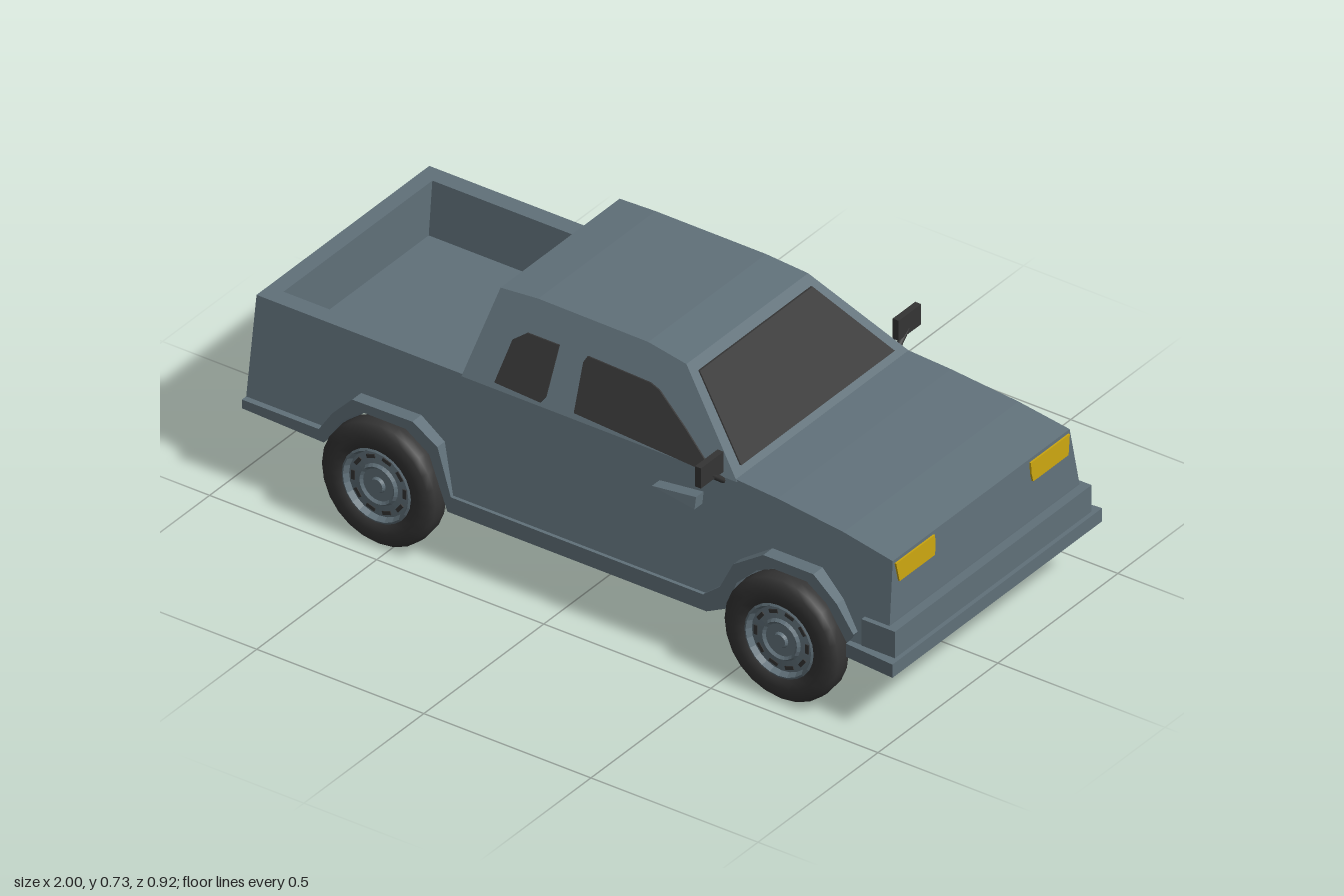
import * as THREE from 'three';

const mat = (name, color) => {
  const m = new THREE.MeshStandardMaterial({ color });
  m.name = name;
  return m;
};

export function createModel() {
  const paint = mat('bluish grey paint', 0x607079);
  const dark = mat('dark rubber and glass', 0x343434);
  const yellow = mat('headlight yellow', 0xc9a410);
  const red = mat('taillight red', 0x8a2c14);
  const truck = new THREE.Group();
  truck.name = 'pickupTruck';

  const add = (name, geo, material, parent = truck) => {
    const mesh = new THREE.Mesh(geo, material);
    mesh.name = name;
    parent.add(mesh);
    return mesh;
  };

  // Extrudes an outline and places every corner with place(a, b, t), t being 0 or 1
  const sculpt = (outline, place) => {
    const shape = new THREE.Shape(outline.map(([a, b]) => new THREE.Vector2(a, b)));
    const geo = new THREE.ExtrudeGeometry(shape, { depth: 1, bevelEnabled: false });
    const p = geo.attributes.position;
    for (let i = 0; i < p.count; i++) p.setXYZ(i, ...place(p.getX(i), p.getY(i), p.getZ(i)));
    geo.computeVertexNormals();
    return geo;
  };
  // Side outline (x, y) spanning z from near(y) to far(y)
  const slab = (outline, near, far) =>
    sculpt(outline, (x, y, t) => [x, y, t < 0.5 ? near(y) : far(y)]);
  // The same slab on both sides of the truck
  const slabPair = (name, outline, near, far, material) => {
    add(name + 'Left', slab(outline, near, far), material);
    add(name + 'Right', slab(outline, (y) => -far(y), (y) => -near(y)), material);
  };
  // Thin plates facing forward or backward, outline in (z, y), lying on x = at(y)
  const frontPlate = (outline, at) =>
    sculpt(outline, (a, y, t) => [at(y) - 0.003 + 0.008 * t, y, -a]);
  const rearPlate = (outline, at) =>
    sculpt(outline, (a, y, t) => [at(y) + 0.003 - 0.008 * t, y, a]);

  // Half widths of the body and of the cabin at height y
  const bodyW = (y) => 0.36 + 0.16 * (0.52 - y);
  const cabW = (y) => 0.36 - 0.548 * (y - 0.52);

  // Body with wheel arches, hood, bed floor and tailgate
  const lowerEdge = [
    [-0.96, 0.225], [-0.715, 0.217], [-0.66, 0.3], [-0.6, 0.347], [-0.47, 0.347],
    [-0.4, 0.3], [-0.37, 0.22], [-0.345, 0.155], [0.43, 0.155], [0.49, 0.185],
    [0.52, 0.27], [0.58, 0.328], [0.63, 0.352], [0.73, 0.352], [0.79, 0.31], [0.85, 0.22],
  ];
  add('body', slab([
    ...lowerEdge, [0.86, 0.185], [0.965, 0.185], [0.96, 0.3], [0.95, 0.465], [0.8, 0.491],
    [0.6, 0.512], [0.475, 0.52], [-0.39, 0.52], [-0.39, 0.37], [-0.915, 0.37],
    [-0.915, 0.52], [-0.96, 0.52],
  ], (y) => -bodyW(y), bodyW), paint);
  slabPair('bedWall', [[-0.915, 0.37], [-0.39, 0.37], [-0.39, 0.52], [-0.915, 0.52]],
    (y) => 0.295 + 0.1 * (y - 0.37), bodyW, paint);

  // Flared trim following the arches and the sills
  slabPair('fenderTrim', [
    ...lowerEdge, [0.87, 0.25], [0.82, 0.32], [0.75, 0.38], [0.6, 0.38], [0.51, 0.32],
    [0.47, 0.24], [0.42, 0.2], [-0.335, 0.2], [-0.375, 0.33], [-0.45, 0.375],
    [-0.63, 0.372], [-0.69, 0.31], [-0.73, 0.25], [-0.96, 0.25],
  ], () => 0.37, () => 0.421, paint);

  // Cabin
  add('cabin', slab([
    [-0.345, 0.515], [0.48, 0.515], [0.25, 0.714], [0.13, 0.729], [-0.2, 0.731], [-0.31, 0.724],
  ], (y) => -cabW(y), cabW), paint);

  // Side windows
  const glassIn = (y) => cabW(y) - 0.004;
  const glassOut = (y) => cabW(y) + 0.004;
  slabPair('rearSideWindow', [
    [-0.25, 0.53], [-0.11, 0.525], [-0.1, 0.54], [-0.105, 0.655], [-0.2, 0.655], [-0.235, 0.63],
  ], glassIn, glassOut, dark);
  slabPair('frontSideWindow', [
    [-0.012, 0.53], [0.365, 0.515], [0.38, 0.535], [0.3, 0.585], [0.2, 0.642], [0.17, 0.65],
    [-0.02, 0.655], [-0.027, 0.64],
  ], glassIn, glassOut, dark);

  // Windshield and rear window
  add('windshield', frontPlate(
    [[-0.32, 0.535], [0.32, 0.535], [0.235, 0.695], [-0.235, 0.695]],
    (y) => 0.48 - (y - 0.515) * 1.156), dark);
  add('rearWindow', rearPlate(
    [[-0.3, 0.555], [0.3, 0.555], [0.235, 0.685], [-0.235, 0.685]],
    (y) => -0.345 + (y - 0.515) * 0.167), dark);

  // Bumper in two tiers
  add('bumperUpper', new THREE.BoxGeometry(0.1, 0.08, 0.82).translate(0.936, 0.256, 0), paint);
  add('bumperLower', sculpt(
    [[0.85, -0.425], [0.998, -0.437], [0.998, 0.437], [0.85, 0.425]],
    (x, b, t) => [x, 0.22 - 0.038 * t, b].map((v) => v)).scale(1, 1, 1), paint);

  for (const s of [1, -1]) {
    const side = s > 0 ? 'Left' : 'Right';
    // Lights
    add('headlight' + side, frontPlate(
      [[0.205, 0.402], [0.352, 0.402], [0.362, 0.456], [0.2, 0.456], [0.2, 0.425]]
        .map(([a, y]) => [-s * a, y]),
      (y) => 0.95 + (0.465 - y) * 0.0606), yellow);
    add('taillight' + side,
      new THREE.BoxGeometry(0.009, 0.175, 0.042).translate(-0.962, 0.388, s * 0.322), red);

    // Mirror on a slanted arm
    add('mirror' + side,
      new THREE.BoxGeometry(0.018, 0.058, 0.094).translate(0.432, 0.561, s * 0.412), dark);
    const arm = new THREE.LineCurve3(
      new THREE.Vector3(0.437, 0.5, s * 0.355), new THREE.Vector3(0.434, 0.545, s * 0.41));
    add('mirrorArm' + side, new THREE.TubeGeometry(arm, 1, 0.008, 8), dark);
  }

  // Wedge shaped door handles
  slabPair('doorHandle', [[0.255, 0.443], [0.385, 0.425], [0.385, 0.457]],
    (y) => bodyW(y) - 0.01, (y) => 0.405 - (y - 0.44) * 0.2, paint);

  // Wheels
  const lathe = (pts) => new THREE.LatheGeometry(pts.map(([r, y]) => new THREE.Vector2(r, y)), 24);
  const tire = lathe([
    [0.098, -0.03], [0.13, -0.038], [0.158, -0.035], [0.17, -0.022], [0.172, 0],
    [0.17, 0.022], [0.158, 0.035], [0.13, 0.038], [0.105, 0.034], [0.098, 0.02],
  ]);
  const rim = lathe([
    [0, -0.026], [0.1, -0.026], [0.107, 0.03], [0.098, 0.035], [0.09, 0.02], [0.058, 0.022],
    [0.052, 0.03], [0.045, 0.024], [0.022, 0.024], [0.018, 0.032], [0, 0.032],
  ]).toNonIndexed();
  rim.computeVertexNormals();
  for (const x of [-0.537, 0.668]) {
    const end = x > 0 ? 'front' : 'rear';
    for (const s of [1, -1]) {
      const wheel = new THREE.Group();
      wheel.name = end + 'Wheel' + (s > 0 ? 'Left' : 'Right');
      wheel.position.set(x, 0.172, s * 0.418);
      wheel.rotation.x = s * Math.PI / 2;
      truck.add(wheel);
      add('tire', tire, dark, wheel);
      add('rim', rim, paint, wheel);
      // Vent slots around the rim
      for (let i = 0; i < 10; i++) {
        const slot = add('rimSlot', new THREE.BoxGeometry(0.01, 0.006, 0.026), dark, wheel);
        const a = (i / 10) * Math.PI * 2;
        slot.position.set(Math.cos(a) * 0.077, 0.0205, Math.sin(a) * 0.077);
        slot.rotation.y = -a;
      }
      // Brake drum
      add(end + 'Drum', new THREE.CylinderGeometry(0.045, 0.045, 0.12, 16)
        .rotateX(Math.PI / 2).translate(x, 0.172, s * 0.34), paint);
    }
    add(end + 'Axle', new THREE.CylinderGeometry(0.034, 0.034, 0.7, 16)
      .rotateX(Math.PI / 2).translate(x, 0.172, 0), dark);
  }

  // Exhaust pipe with a closed tip
  const bend = new THREE.CatmullRomCurve3([
    [-0.872, 0.24], [-0.873, 0.18], [-0.9, 0.14], [-0.95, 0.13], [-0.998, 0.124],
  ].map(([x, y]) => new THREE.Vector3(x, y, 0.195)));
  add('exhaustPipe', new THREE.TubeGeometry(bend, 14, 0.023, 10), dark);
  add('exhaustTip', new THREE.CircleGeometry(0.023, 10)
    .rotateY(-Math.PI / 2).translate(-0.996, 0.124, 0.195), dark);

  return truck;
}
